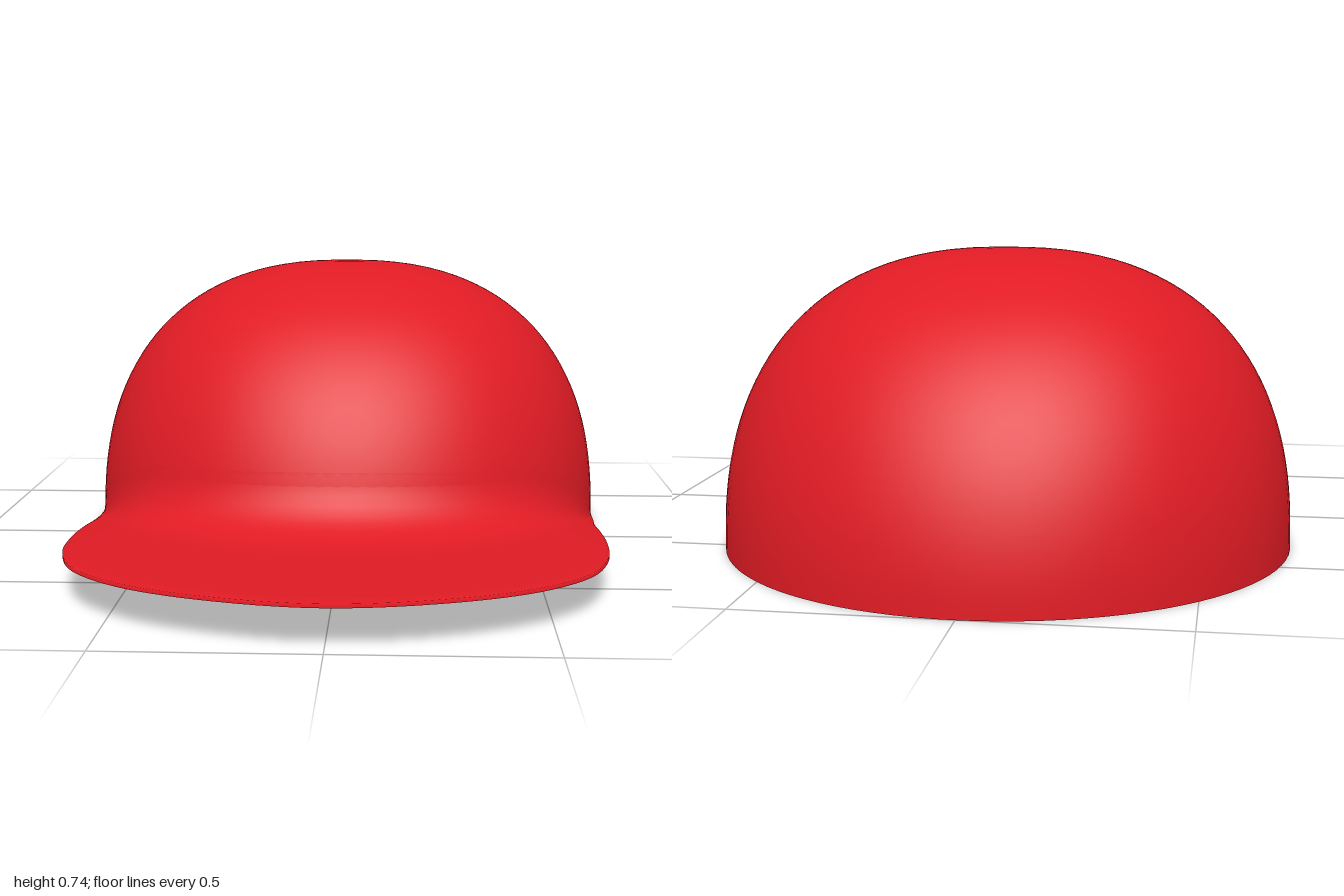
import * as THREE from 'three';
import { mergeVertices } from 'three/addons/utils/BufferGeometryUtils.js';

const RX = 0.71, RZ = 0.7, HEIGHT = 0.735, CENTRE_Z = -0.3;

// Smooth surface from a rule point(u, v), with u and v running 0..1
function surface(point, nu, nv) {
  const positions = [], index = [];
  for (let j = 0; j <= nv; j++) {
    for (let i = 0; i <= nu; i++) positions.push(...point(i / nu, j / nv).toArray());
  }
  for (let j = 0; j < nv; j++) {
    for (let i = 0; i < nu; i++) {
      const a = j * (nu + 1) + i, b = a + 1, c = a + nu + 1, d = c + 1;
      index.push(a, b, d, a, d, c);
    }
  }
  let geometry = new THREE.BufferGeometry();
  geometry.setAttribute('position', new THREE.Float32BufferAttribute(positions, 3));
  geometry.setIndex(index);
  geometry = mergeVertices(geometry, 1e-5);
  geometry.computeVertexNormals();
  return geometry;
}

// Point on the crown at an angle from the front and a height; the sides are fuller than front and back
function crownPoint(angle, y) {
  const s = Math.sin(angle), c = Math.cos(angle);
  const power = 2 + 0.4 * s * s;
  const r = Math.pow(Math.max(0, 1 - Math.pow(y / HEIGHT, power)), 1 / power);
  return new THREE.Vector3(RX * s * r, y, CENTRE_Z + RZ * c * r);
}

// Brim outline, one half from the side of the crown to the front tip, then mirrored
const half = [
  [-0.709, 0.006, -0.28], [-0.7, 0.018, -0.12], [-0.685, 0.04, 0.03], [-0.677, 0.065, 0.2],
  [-0.668, 0.085, 0.4], [-0.645, 0.097, 0.58], [-0.59, 0.101, 0.72], [-0.46, 0.104, 0.85],
  [-0.25, 0.107, 0.95],
].map((p) => new THREE.Vector3(...p));
const mirrored = half.map((p) => new THREE.Vector3(-p.x, p.y, p.z)).reverse();
const outline = new THREE.CatmullRomCurve3([...half, new THREE.Vector3(0, 0.108, 0.995), ...mirrored]);
outline.arcLengthDivisions = 800;

const brimAngle = (u) => (u - 0.5) * Math.PI;
function lowerEdge(u) {
  const p = outline.getPointAt(u);
  p.y *= 0.91;
  return p;
}

// Top of the brim: thin lip, nearly flat sheet, then a fillet running up the crown
function brimTop(u, v) {
  if (v === 0) return lowerEdge(u);
  const edge = outline.getPointAt(u);
  const angle = brimAngle(u);
  const foot = crownPoint(angle, edge.y * 0.88);
  const upper = crownPoint(angle, edge.y * 2.3);
  const start = foot.clone().lerp(edge, 0.3);
  if (v <= 0.5) return edge.lerp(start, (v - 0.05) / 0.45);
  return new THREE.QuadraticBezierCurve3(start, foot, upper).getPoint((v - 0.5) / 0.5);
}

export function createModel() {
  const cap = new THREE.Group();
  cap.name = 'cap';
  const material = new THREE.MeshStandardMaterial({ color: 0xe01b24, side: THREE.DoubleSide });
  const add = (name, geometry) => {
    const mesh = new THREE.Mesh(geometry, material);
    mesh.name = name;
    cap.add(mesh);
  };

  // Hollow crown, open below
  add('crown', surface(
    (u, v) => crownPoint((u % 1) * Math.PI * 2, HEIGHT * Math.sin(v * Math.PI / 2)), 96, 32));

  // Brim, upper and lower faces
  add('brimTop', surface(brimTop, 96, 20));
  add('brimUnderside', surface(
    (u, v) => crownPoint(brimAngle(u), 0).lerp(lowerEdge(u), v), 96, 10));

  return cap;
}
